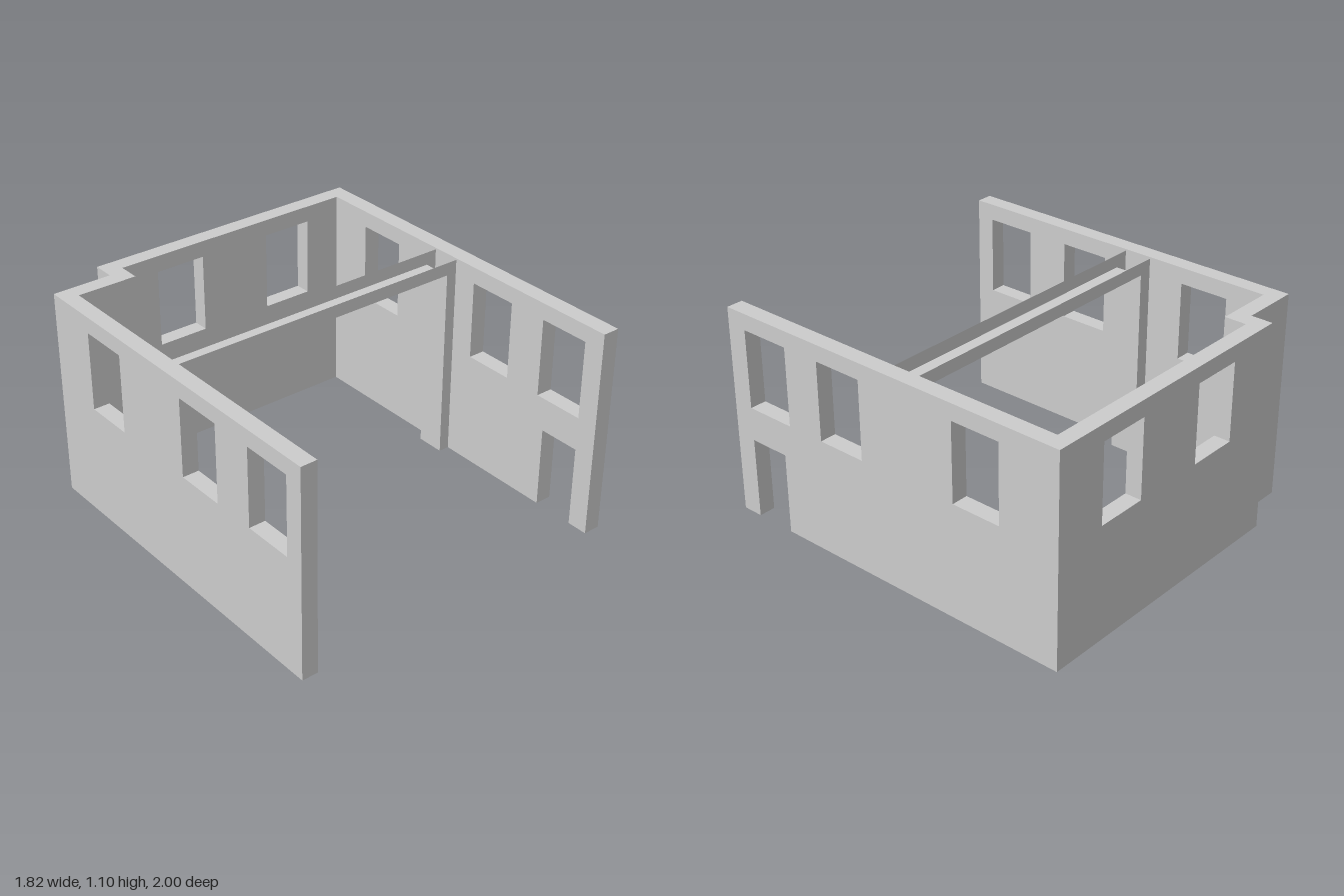
import * as THREE from 'three';

const H = 1.095;            // wall height
const SILL = 0.6, HEAD = 1.01; // window bottom and top

const material = new THREE.MeshStandardMaterial({ color: 0xcccccc, flatShading: true });
const openMaterial = new THREE.MeshStandardMaterial({ color: 0xcccccc, flatShading: true, side: THREE.DoubleSide });

const polygon = (points) => new THREE.Shape(points.map(([u, v]) => new THREE.Vector2(u, v)));

// Upright wall from u0 to u1 with window openings and an optional doorway cut from the base
function wallGeometry(u0, u1, thickness, windows = [], door = null) {
  const base = door ? [[door[0], 0], [door[0], door[2]], [door[1], door[2]], [door[1], 0]] : [];
  const shape = polygon([[u0, 0], ...base, [u1, 0], [u1, H], [u0, H]]);
  for (const [a, b] of windows) {
    shape.holes.push(polygon([[a, SILL], [a, HEAD], [b, HEAD], [b, SILL]]));
  }
  return new THREE.ExtrudeGeometry(shape, { depth: thickness, bevelEnabled: false });
}

export function createModel() {
  const model = new THREE.Group();
  model.name = 'roomShell';

  const add = (parent, name, geometry, mat = material) => {
    const mesh = new THREE.Mesh(geometry, mat);
    mesh.name = name;
    parent.add(mesh);
    return mesh;
  };

  // Side walls, running along z
  const side = (name, xMax, thickness, ...args) =>
    add(model, name, wallGeometry(args[0], args[1], thickness, args[2], args[3])
      .rotateY(-Math.PI / 2).translate(xMax, 0, 0));
  side('leftWall', 0.91, 0.088, -1, 1,
    [[0.62, 0.89], [0.145, 0.41], [-0.675, -0.41]], [0.67, 0.89, 0.425]);
  side('rightWall', -0.825, 0.085, -0.885, 1,
    [[0.64, 0.905], [0.145, 0.41], [-0.595, -0.33]]);

  // Back wall with its stepped corner
  const back = (name, x0, x1, z0, z1, windows) =>
    add(model, name, wallGeometry(x0, x1, z1 - z0, windows).translate(0, 0, z0));
  back('backWall', -0.6, 0.822, -1, -0.915, [[-0.31, -0.04], [0.355, 0.625]]);
  back('backStep', -0.6, -0.51, -0.915, -0.8);
  back('backCornerWall', -0.825, -0.6, -0.885, -0.8);

  // Hollow portal frame, open along its outer edge
  const frame = new THREE.Group();
  frame.name = 'portalFrame';
  model.add(frame);
  const [xo0, xi0, xi1, xo1] = [-0.825, -0.755, 0.765, 0.822];
  const top = 1.087, under = 1.02, zBack = -0.135, zFront = 0.015;
  const depth = zFront - zBack, zMid = (zFront + zBack) / 2;
  const face = polygon([[xo0, 0], [xi0, 0], [xi0, under], [xi1, under], [xi1, 0],
    [xo1, 0], [xo1, top], [xo0, top]]);
  add(frame, 'frameFront', new THREE.ShapeGeometry(face).translate(0, 0, zFront), openMaterial);
  add(frame, 'frameBack', new THREE.ShapeGeometry(face).translate(0, 0, zBack), openMaterial);
  add(frame, 'beamUnderside', new THREE.PlaneGeometry(xi1 - xi0, depth)
    .rotateX(Math.PI / 2).translate((xi0 + xi1) / 2, under, zMid), openMaterial);
  for (const [name, x, turn] of [['rightPostInside', xi0, 1], ['leftPostInside', xi1, -1]]) {
    add(frame, name, new THREE.PlaneGeometry(depth, under)
      .rotateY(turn * Math.PI / 2).translate(x, under / 2, zMid), openMaterial);
  }

  return model;
}
